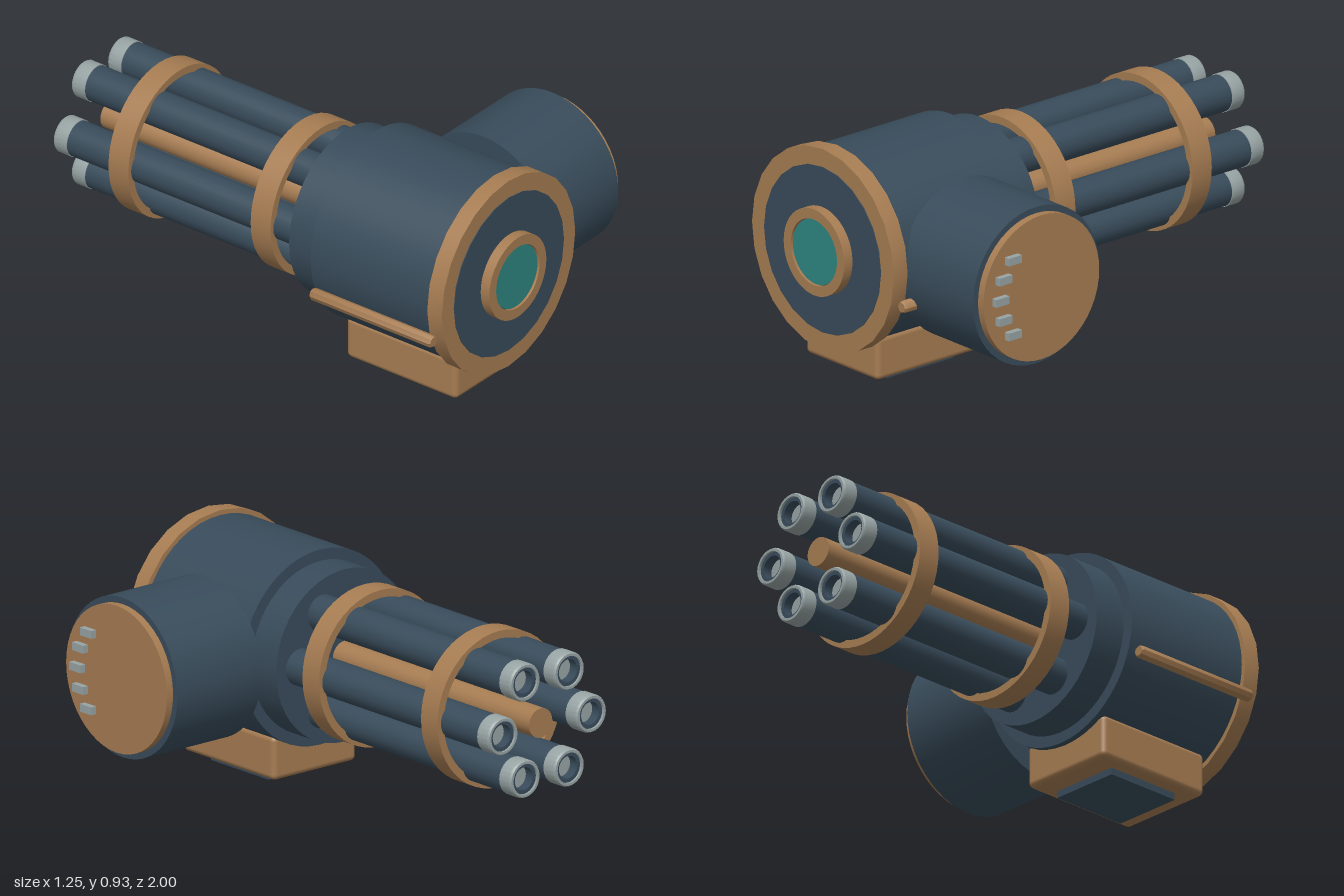
import * as THREE from 'three';
import { toCreasedNormals } from 'three/addons/utils/BufferGeometryUtils.js';
import { RoundedBoxGeometry } from 'three/addons/geometries/RoundedBoxGeometry.js';

const AXIS_X = -0.2, AXIS_Y = 0.525;

function material(name, color) {
  const m = new THREE.MeshStandardMaterial({ color });
  m.name = name;
  return m;
}

// Solid of revolution about z from [radius, z] pairs, listed inner back, outer back, outer front, inner front
function turned(points, sides) {
  const lathe = new THREE.LatheGeometry(points.map(([r, z]) => new THREE.Vector2(r, z)), sides);
  return toCreasedNormals(lathe, 0.6).rotateX(Math.PI / 2);
}
const disc = (r, z0, z1, sides = 40) => turned([[0, z0], [r, z0], [r, z1], [0, z1]], sides);
const ring = (ri, ro, z0, z1, sides = 40) =>
  turned([[ri, z0], [ro, z0], [ro, z1], [ri, z1], [ri, z0]], sides);

export function createModel() {
  const steel = material('dark blue steel', 0x384b5a);
  const bronze = material('bronze', 0xa67c52);
  const silver = material('silver grey', 0x97a3a3);
  const teal = material('teal glass', 0x2e8580);

  const model = new THREE.Group();
  model.name = 'rotaryCannon';
  const add = (parent, name, geometry, mat, x = 0, y = 0, z = 0) => {
    const mesh = new THREE.Mesh(geometry, mat);
    mesh.name = name;
    mesh.position.set(x, y, z);
    parent.add(mesh);
    return mesh;
  };

  // Everything concentric with the firing axis
  const core = new THREE.Group();
  core.name = 'core';
  core.position.set(AXIS_X, AXIS_Y, 0);
  model.add(core);
  add(core, 'mainHousing', disc(0.385, 0.31, 0.9, 48), steel);
  add(core, 'barrelHousing', disc(0.34, 0.17, 0.33, 48), steel);
  add(core, 'frontFlange', ring(0.3, 0.405, 0.885, 0.955, 24), bronze);
  add(core, 'frontPlate', disc(0.333, 0.89, 0.958, 24), steel);
  add(core, 'lensRing', ring(0.132, 0.173, 0.95, 1, 40), bronze);
  add(core, 'lensSeat', disc(0.134, 0.95, 0.985), steel);
  add(core, 'lens', disc(0.129, 0.984, 0.992), teal);
  add(core, 'centreShaft', disc(0.058, -0.96, 0.25, 24), bronze);
  for (const [name, z] of [['rearBand', 0.008], ['muzzleBand', -0.675]])
    add(core, name, ring(0.277, 0.308, z - 0.048, z + 0.048, 48), bronze);

  // Six hollow barrels with silver muzzle collars
  const barrelGeometry = turned(
    [[0, -0.9], [0.045, -0.9], [0.045, -0.99], [0.066, -0.99], [0.072, -0.935], [0.072, 0.25], [0, 0.25]], 24);
  const collarGeometry = turned(
    [[0.06, -1], [0.07, -1], [0.075, -0.992], [0.075, -0.935], [0.06, -0.935], [0.06, -1]], 24);
  const boreGeometry = disc(0.045, -0.95, -0.9, 20);
  for (let i = 0; i < 6; i++) {
    const a = (i * Math.PI) / 3;
    const barrel = new THREE.Group();
    barrel.name = 'barrel';
    barrel.position.set(0.22 * Math.cos(a), 0.22 * Math.sin(a), 0);
    core.add(barrel);
    add(barrel, 'tube', barrelGeometry, steel);
    add(barrel, 'muzzleCollar', collarGeometry, silver);
    add(barrel, 'boreFloor', boreGeometry, silver);
  }

  // Rods along both flanks
  const rodGeometry = turned([[0, 0.33], [0.02, 0.33], [0.025, 0.338], [0.025, 0.905], [0.02, 0.912], [0, 0.912]], 8);
  for (const side of [-1, 1])
    add(core, side < 0 ? 'rightRod' : 'leftRod', rodGeometry, bronze, side * 0.4, -0.13, 0);

  // Drum on the left flank, built along z and turned to face +x
  const drum = new THREE.Group();
  drum.name = 'sideDrum';
  drum.position.set(0, 0.502, 0.56);
  drum.rotation.y = Math.PI / 2;
  model.add(drum);
  add(drum, 'drumShell', disc(0.315, 0.15, 0.567, 48), steel);
  add(drum, 'drumCap', disc(0.29, 0.56, 0.598, 48), bronze);

  // Arc of small lugs on the drum cap
  for (let i = -2; i <= 2; i++) {
    const a = (i * Math.PI) / 8;
    add(model, 'capLug', new THREE.BoxGeometry(0.04, 0.031, 0.065), silver,
      0.602, 0.502 + 0.213 * Math.sin(a), 0.56 + 0.213 * Math.cos(a));
  }

  // Mount under the housing
  add(model, 'mountBlock', new RoundedBoxGeometry(0.415, 0.175, 0.53, 3, 0.022), bronze, -0.198, 0.117, 0.6);
  add(model, 'mountFoot', new THREE.BoxGeometry(0.295, 0.06, 0.33), steel, -0.198, 0.032, 0.6);

  return model;
}
